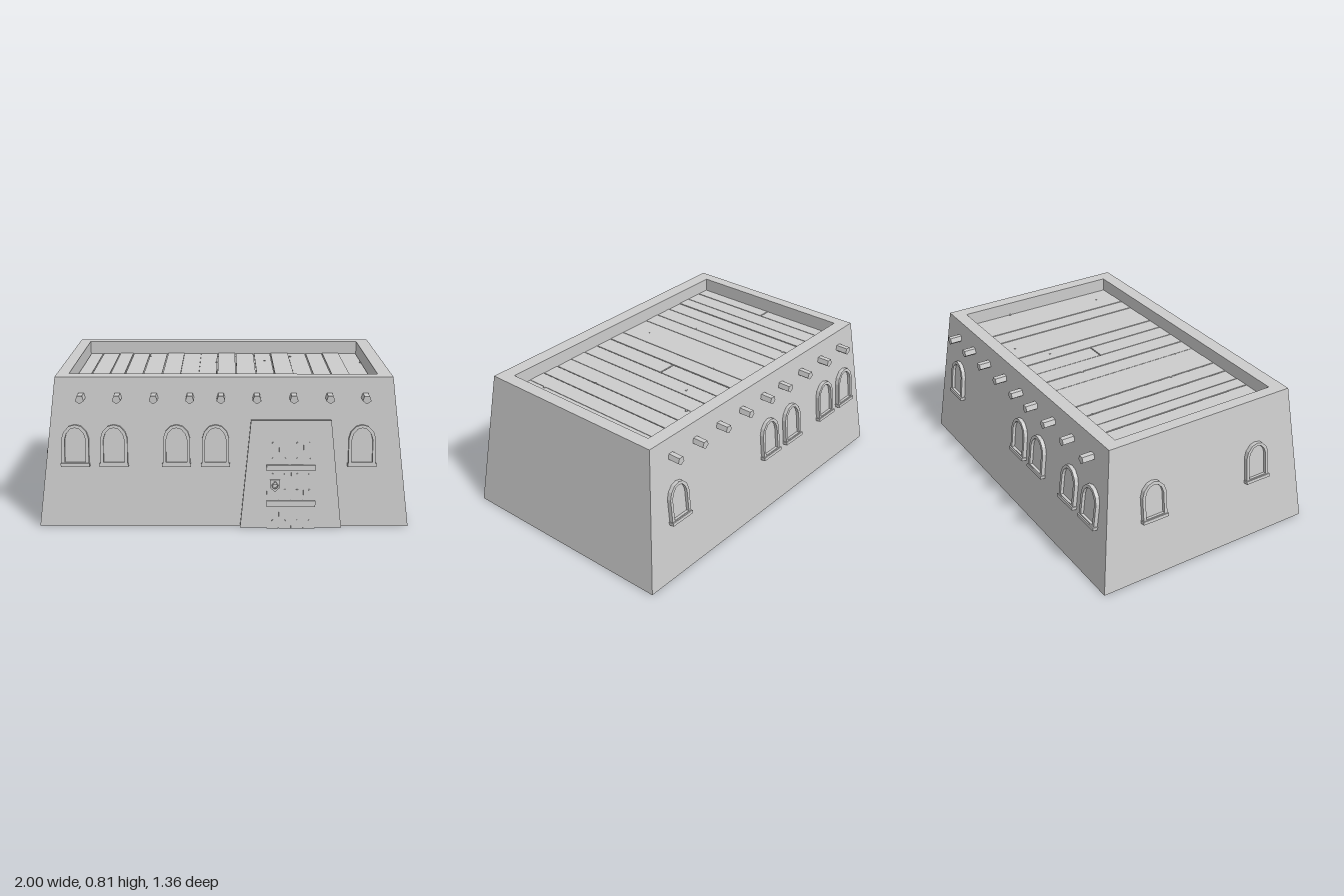
import * as THREE from 'three';

const material = new THREE.MeshStandardMaterial({ color: 0xcccccc, flatShading: true, side: THREE.DoubleSide });
const TILT = 0.1107;

function add(parent, name, geometry, x = 0, y = 0, z = 0) {
  const mesh = new THREE.Mesh(geometry, material);
  mesh.name = name;
  mesh.position.set(x, y, z);
  parent.add(mesh);
  return mesh;
}

const box = (w, h, d) => new THREE.BoxGeometry(w, h, d);
const extrude = (shape, depth) => new THREE.ExtrudeGeometry(shape, { depth, bevelEnabled: false });
const polygon = (points) => new THREE.Shape(points.map(([x, y]) => new THREE.Vector2(x, y)));

// Group lying on a sloping wall: local z points out of the wall
function wallGroup(name, x, y, z, yaw) {
  const group = new THREE.Group();
  group.name = name;
  group.position.set(x, y, z);
  group.rotation.set(-TILT, yaw, 0, 'YXZ');
  return group;
}

// Battered walls, rim and inner parapet as one skin of rectangular rings
function wallGeometry() {
  const rings = [ // y, left x, right x, back z, front z
    [0.01, -1, 1, -0.68, 0.635],
    [0.82, -0.905, 0.905, -0.59, 0.545],
    [0.82, -0.84, 0.83, -0.515, 0.465],
    [0.722, -0.84, 0.83, -0.515, 0.465],
  ];
  const corners = rings.map(([y, x0, x1, z0, z1]) => [[x0, y, z1], [x1, y, z1], [x1, y, z0], [x0, y, z0]]);
  const position = [];
  for (let r = 0; r < 3; r++) {
    for (let i = 0; i < 4; i++) {
      const j = (i + 1) % 4;
      const a = corners[r][i], b = corners[r][j], c = corners[r + 1][j], d = corners[r + 1][i];
      position.push(...a, ...b, ...c, ...a, ...c, ...d);
    }
  }
  const geometry = new THREE.BufferGeometry();
  geometry.setAttribute('position', new THREE.Float32BufferAttribute(position, 3));
  geometry.computeVertexNormals();
  return geometry;
}

// Faceted arch outline, base at y = 0
function archPoints(halfWidth, base, top) {
  const h = top - base;
  const right = [[1, 0], [1, 0.66], [0.83, 0.83], [0.45, 0.96]];
  const left = right.map(([x, y]) => [-x, y]).reverse();
  return [...right, [0, 1], ...left].map(([x, y]) => [x * halfWidth, base + y * h]);
}

function makeWindow(x, y, z, yaw) {
  const group = wallGroup('window', x, y, z, yaw);
  const frame = polygon(archPoints(0.073, 0, 0.222));
  frame.holes.push(polygon(archPoints(0.056, 0.018, 0.205)));
  add(group, 'windowFrame', extrude(frame, 0.034), 0, 0, -0.012);
  add(group, 'windowPane', extrude(polygon(archPoints(0.06, 0.012, 0.21)), 0.01), 0, 0, -0.005);
  add(group, 'windowSill', box(0.155, 0.018, 0.042), 0, 0.004, 0.008);
  return group;
}

function makeDoor() {
  const group = wallGroup('doorway', 0.36, 0.01, 0.635, 0);
  const surround = polygon([[-0.273, 0], [0.273, 0], [0.215, 0.584], [-0.215, 0.584]]);
  add(group, 'doorSurround', extrude(surround, 0.05), 0, 0, -0.012);

  // Door planks with stud rows
  for (let i = 0; i < 4; i++) {
    const x = -0.098 + i * 0.0655;
    add(group, 'doorPlank', box(0.063, 0.505, 0.01), x, 0.247, 0.036 + (i % 2) * 0.001);
    for (let row = 0; row < 6; row++) {
      const stud = add(group, 'doorStud', new THREE.CylinderGeometry(0.004, 0.005, 0.006, 6), x, 0.04 + row * 0.085, 0.043);
      stud.rotation.x = Math.PI / 2;
    }
  }
  for (const y of [0.135, 0.33]) add(group, 'doorBar', box(0.262, 0.032, 0.022), 0, y, 0.046);

  // Lock plate with a ring handle
  const plate = polygon([[-0.027, 0.03], [-0.027, -0.012], [0, -0.036], [0.027, -0.012], [0.027, 0.03]]);
  add(group, 'lockPlate', extrude(plate, 0.014), -0.086, 0.235, 0.04);
  add(group, 'lockRing', new THREE.TorusGeometry(0.014, 0.004, 5, 10), -0.086, 0.235, 0.06);
  add(group, 'lockKnob', box(0.012, 0.014, 0.02), -0.086, 0.249, 0.058);
  add(group, 'keyhole', box(0.008, 0.018, 0.006), -0.04, 0.1, 0.043);
  return group;
}

function makeRoof() {
  const roof = new THREE.Group();
  roof.name = 'roof';
  const edges = [-0.84, -0.76, -0.655, -0.57, -0.465, -0.355, -0.25, -0.145, -0.04,
    0.07, 0.185, 0.29, 0.4, 0.51, 0.615, 0.72, 0.83];
  const tight = [6, 7, 12, 15]; // seams that are nearly closed
  const split = [0, 9]; // planks made of two lengths
  const plank = (x0, x1, z0, z1, top) =>
    add(roof, 'roofPlank', box(x1 - x0, 0.02, z1 - z0), (x0 + x1) / 2, top - 0.01, (z0 + z1) / 2);
  for (let i = 0; i < 16; i++) {
    const x0 = edges[i] + (tight.includes(i) ? 0.0005 : 0.003);
    const x1 = edges[i + 1] - (tight.includes(i + 1) ? 0.0005 : 0.003);
    const top = 0.743 + (i % 3) * 0.001;
    if (split.includes(i)) {
      plank(x0, x1, -0.515, -0.033, top);
      plank(x0, x1, -0.027, 0.465, top + 0.001);
    } else {
      plank(x0, x1, -0.515, 0.465, top);
    }
  }
  // Small knots in the planks
  const knots = [[-0.46, -0.41], [-0.045, -0.225], [-0.36, 0.165], [-0.145, 0.345], [0.245, -0.27],
    [0.41, -0.41], [0.822, -0.225], [0.51, 0.165], [0.725, 0.345]];
  for (const [x, z] of knots) add(roof, 'plankKnot', new THREE.CylinderGeometry(0.007, 0.007, 0.004, 6), x, 0.745, z);
  return roof;
}

export function createModel() {
  const model = new THREE.Group();
  model.name = 'adobeHouse';
  add(model, 'walls', wallGeometry());
  model.add(makeRoof());

  // Roof beams running through both long walls
  for (const x of [-0.765, -0.57, -0.375, -0.182, -0.016, 0.175, 0.372, 0.565, 0.757]) {
    const beam = add(model, 'roofBeam', new THREE.CylinderGeometry(0.024, 0.024, 1.302, 5), x, 0.715, -0.018);
    beam.rotation.x = Math.PI / 2;
  }

  // Windows on the front, back and right walls
  const y = 0.345;
  const inset = (y - 0.01) * 0.111;
  for (const x of [-0.8, -0.592, -0.255, -0.045, 0.743]) {
    model.add(makeWindow(x, y, 0.635 - inset, 0));
    model.add(makeWindow(x, y, -0.68 + inset, Math.PI));
  }
  for (const z of [-0.355, 0.315]) model.add(makeWindow(-1 + 0.345 * 0.117, 0.355, z, -Math.PI / 2));

  model.add(makeDoor());
  return model;
}
